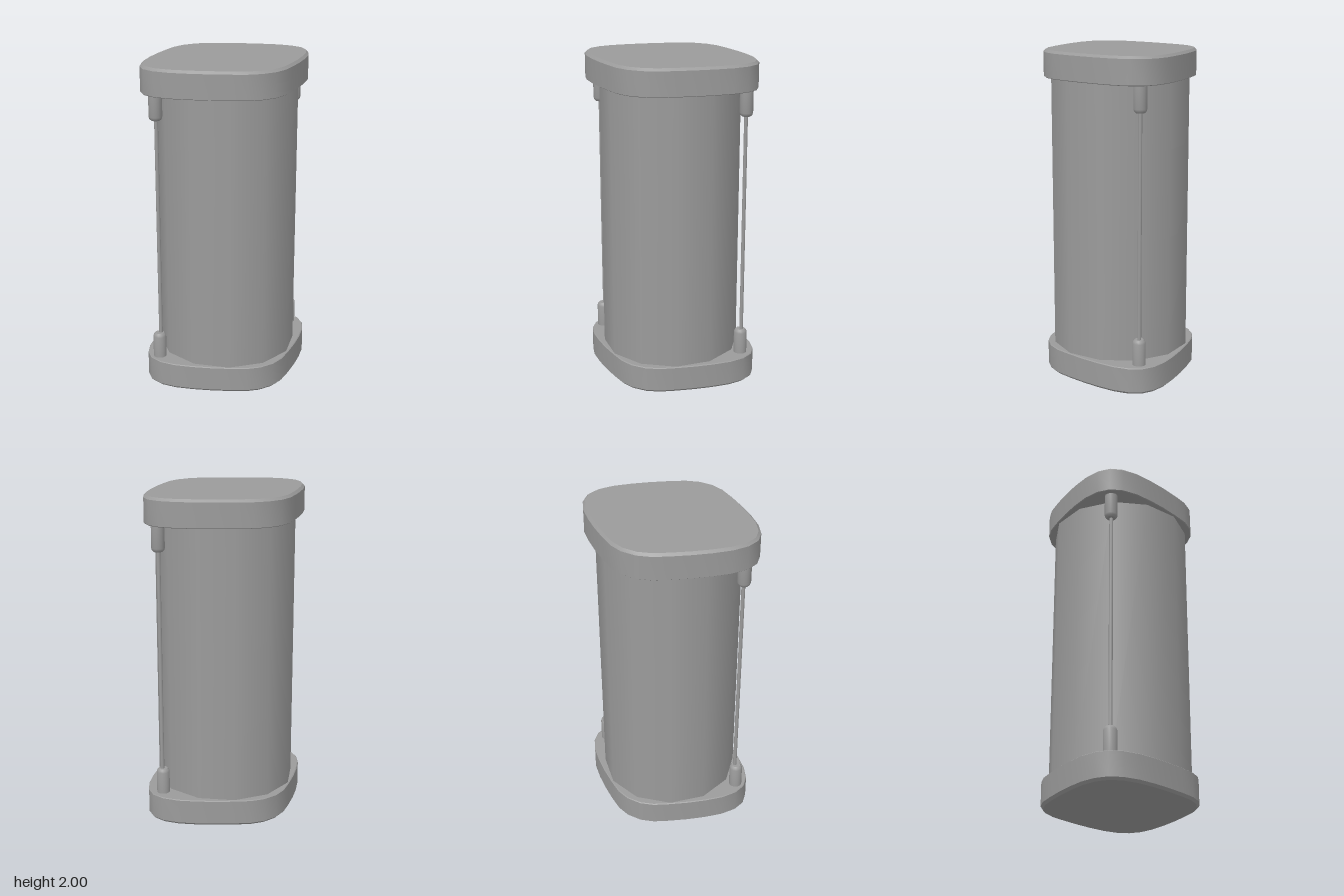
import * as THREE from 'three';
import { toCreasedNormals } from 'three/addons/utils/BufferGeometryUtils.js';

const material = new THREE.MeshStandardMaterial({ color: 0x9b9b9b });
const CAP = 0.165;

// Rounded diamond cap: wide bevel on the outer face (y = 0), fine bevel on the inner face
function makeCap() {
  const quarter = [[0.554, 0], [0.534, 0.08], [0.48, 0.16], [0.397, 0.24],
    [0.31, 0.311], [0.215, 0.379], [0.13, 0.433], [0.047, 0.461]];
  const half = [...quarter, ...quarter.slice().reverse().map(([x, z]) => [-x, z])];
  const outline = [...half, ...half.slice(1, -1).reverse().map(([x, z]) => [x, -z])];
  const bevel = 0.015;
  const geometry = new THREE.ExtrudeGeometry(
    new THREE.Shape(outline.map(([x, z]) => new THREE.Vector2(x, z))), {
      depth: CAP - 2 * bevel, bevelEnabled: true, bevelSegments: 1,
      bevelSize: bevel, bevelThickness: bevel, bevelOffset: -bevel,
    }).translate(0, 0, bevel).rotateX(-Math.PI / 2);
  const p = geometry.attributes.position;
  for (let i = 0; i < p.count; i++) {
    const y = p.getY(i);
    if (y > CAP - 0.001) p.setXYZ(i, p.getX(i) * 1.022, y, p.getZ(i) * 1.022);
    else if (y > CAP / 2) p.setY(i, CAP - 0.004);
  }
  return toCreasedNormals(geometry, 0.6);
}

export function createModel() {
  const group = new THREE.Group();
  const add = (name, geometry, x, y) => {
    const mesh = new THREE.Mesh(geometry, material);
    mesh.name = name;
    mesh.position.set(x, y, 0);
    group.add(mesh);
    return mesh;
  };

  // End caps, the top one turned over
  const cap = makeCap();
  add('bottomCap', cap, 0.003, 0);
  add('topCap', cap, -0.004, 2).rotation.x = Math.PI;

  // Main drum, twelve sides with smooth shading
  add('drum', new THREE.CylinderGeometry(0.425, 0.425, 2 - 2 * CAP + 0.02, 12), 0, 1);

  // Sockets with a rounded free end, joined by thin rods on both sides
  const profile = [[0.04, 0], [0.04, 0.135], [0.036, 0.148], [0.027, 0.157], [0, 0.157]]
    .map(([r, y]) => new THREE.Vector2(r, y));
  const socket = toCreasedNormals(new THREE.LatheGeometry(profile, 16), 0.75);
  const rod = new THREE.CylinderGeometry(0.012, 0.012, 1.4, 8);
  for (const side of [-1, 1]) {
    const label = side > 0 ? 'left' : 'right';
    const x = side * 0.486;
    add(label + 'BottomSocket', socket, x - 0.004, CAP);
    add(label + 'TopSocket', socket, x + 0.002, 2 - CAP).rotation.x = Math.PI;
    add(label + 'Rod', rod, side * 0.484 + 0.003, 1);
  }
  return group;
}
